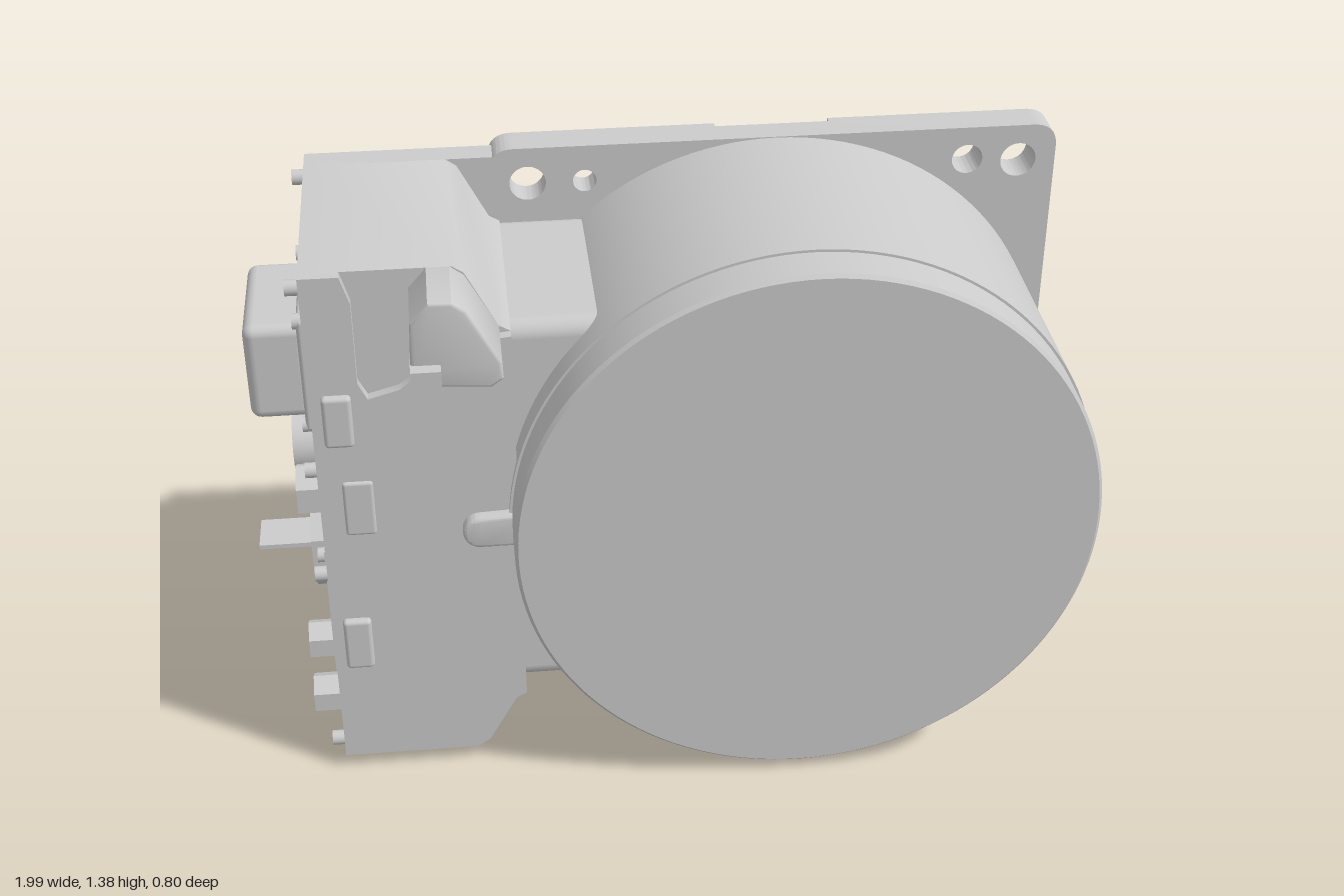
import * as THREE from 'three';
import { toCreasedNormals } from 'three/addons/utils/BufferGeometryUtils.js';
import { RoundedBoxGeometry } from 'three/addons/geometries/RoundedBoxGeometry.js';

const CX = 0.3, CY = 0.7; // drum axis

export function createModel() {
  const root = new THREE.Group();
  const mat = new THREE.MeshStandardMaterial({ color: 0xcccccc });

  const add = (name, geo, x = 0, y = 0, z = 0) => {
    const m = new THREE.Mesh(geo, mat);
    m.name = name;
    m.position.set(x, y, z);
    root.add(m);
    return m;
  };
  // box given by its limits
  const box = (name, x0, x1, y0, y1, z0, z1, r = 0) => add(name,
    r ? new RoundedBoxGeometry(x1 - x0, y1 - y0, z1 - z0, 3, r)
      : new THREE.BoxGeometry(x1 - x0, y1 - y0, z1 - z0),
    (x0 + x1) / 2, (y0 + y1) / 2, (z0 + z1) / 2);
  // shape extruded from z0 to z1, optionally bevelled inside those limits
  const slab = (name, shape, z0, z1, bevel = 0) => {
    const g = new THREE.ExtrudeGeometry(shape, {
      depth: z1 - z0 - 2 * bevel, curveSegments: 32, bevelEnabled: bevel > 0,
      bevelSize: bevel, bevelThickness: bevel, bevelOffset: -bevel, bevelSegments: 3,
    });
    return add(name, toCreasedNormals(g, 0.6), 0, 0, z0 + bevel);
  };
  const poly = (pts) => new THREE.Shape(pts.map(([x, y]) => new THREE.Vector2(x, y)));
  const drumPart = (name, r0, r1, z0, z1) => {
    const g = new THREE.CylinderGeometry(r1, r0, z1 - z0, 128).rotateX(Math.PI / 2);
    return add(name, g, CX, CY, (z0 + z1) / 2);
  };
  // prism or round plug pointing to -x from the side panel
  const plug = (name, r, sides, x0, x1, y, z) => {
    let g = new THREE.CylinderGeometry(r, r, x1 - x0, sides).rotateZ(Math.PI / 2);
    if (sides < 16) g = toCreasedNormals(g.rotateX(Math.PI / sides), 0.3);
    return add(name, g, (x0 + x1) / 2, y, z);
  };

  // main drum with a slightly narrower front rim
  drumPart('drum', 0.683, 0.683, -0.33, 0.25);
  drumPart('drumRim', 0.677, 0.677, 0.25, 0.347);
  drumPart('drumRimEdge', 0.677, 0.669, 0.347, 0.355);
  drumPart('drumFootFillet', 0.683, 0.683, -0.31, -0.295);

  // mounting plate: front layer whole, back layer cut by a round recess and a strip
  const holes = [
    [-0.29, 1.295, 0.043], [0.89, 1.295, 0.043], [0.89, 0.11, 0.043], [-0.29, 0.11, 0.043],
    [-0.155, 1.295, 0.028], [0.765, 1.303, 0.037], [0.9, 0.235, 0.037],
  ];
  const drill = (shape, test) => {
    for (const [x, y, r] of holes) if (test(x)) {
      const p = new THREE.Path();
      p.absarc(x, y, r, 0, Math.PI * 2, true);
      shape.holes.push(p);
    }
    return shape;
  };
  const W = 0.68, Y0 = 0.02, Y1 = 1.385, R = 0.06;
  const halfEdge = (shape, s) => { // outer edge of one half, bottom to top
    const X = CX + s * W;
    shape.lineTo(X - s * R, Y0);
    shape.quadraticCurveTo(X, Y0, X, Y0 + R);
    shape.lineTo(X, Y1 - R);
    shape.quadraticCurveTo(X, Y1, X - s * R, Y1);
  };
  const front = new THREE.Shape();
  front.moveTo(CX, Y0);
  halfEdge(front, 1);
  front.lineTo(CX - W + R, Y1);
  front.quadraticCurveTo(CX - W, Y1, CX - W, Y1 - R);
  front.lineTo(CX - W, Y0 + R);
  front.quadraticCurveTo(CX - W, Y0, CX - W + R, Y0);
  slab('mountingPlate', drill(front, () => true), -0.383, -0.31);
  for (const s of [1, -1]) {
    const half = new THREE.Shape();
    const strip = 0.137, rad = 0.582, a = Math.acos(strip / rad);
    half.moveTo(CX + s * strip, Y0);
    halfEdge(half, s);
    half.lineTo(CX + s * strip, Y1);
    for (let i = 0; i <= 48; i++) {
      const t = a - (2 * a * i) / 48;
      half.lineTo(CX + s * rad * Math.cos(t), CY + rad * Math.sin(t));
    }
    slab('plateBackRim', drill(half, (x) => (x - CX) * s > 0), -0.4, -0.383);
  }
  box('sidePad', 0.97, 0.993, 0.56, 0.84, -0.398, -0.3);
  box('bottomPad', 0.163, 0.437, 0.002, 0.05, -0.385, -0.3);
  const boss = new THREE.CylinderGeometry(0.047, 0.047, 0.03, 32).rotateX(Math.PI / 2);
  add('plateBoss', boss, -0.152, 0.063, -0.298);

  // electronics housing beside the drum
  box('housingBack', -0.808, -0.37, 0.04, 1.367, -0.375, -0.31);
  slab('housing', poly([[-0.808, 0.04], [-0.485, 0.04], [-0.455, 0.06], [-0.385, 0.185], [-0.36, 0.2],
    [-0.36, 1.2], [-0.385, 1.215], [-0.455, 1.35], [-0.48, 1.367], [-0.808, 1.367]]), -0.33, 0.21);
  // raised front face, leaving the upper corner lower
  slab('housingFace', poly([[-0.808, 0.04], [-0.485, 0.04], [-0.455, 0.06], [-0.385, 0.185], [-0.36, 0.2],
    [-0.36, 1.2], [-0.53, 1.18], [-0.56, 1.12], [-0.61, 1.08], [-0.68, 1.06],
    [-0.7, 1.1], [-0.7, 1.3], [-0.72, 1.367], [-0.808, 1.367]]), 0.205, 0.235);
  // neck joining housing to drum
  box('neck', -0.45, 0.1, 0.2, 1.2, -0.33, 0.185, 0.04);
  // raised corner block with a small tab
  slab('cornerBlock', poly([[-0.58, 1.2], [-0.56, 1.165], [-0.41, 1.155], [-0.383, 1.175], [-0.385, 1.215],
    [-0.455, 1.345], [-0.485, 1.367], [-0.535, 1.367], [-0.575, 1.32]]), 0.19, 0.37, 0.008);
  box('cornerTab', -0.58, -0.515, 1.16, 1.22, 0.34, 0.4);
  // locating tongue reaching the drum
  const tongue = new THREE.Shape();
  tongue.moveTo(-0.34, 0.66);
  tongue.lineTo(-0.445, 0.66);
  tongue.absarc(-0.45, 0.7, 0.04, -Math.PI / 2, Math.PI / 2, true);
  tongue.lineTo(-0.34, 0.745);
  slab('tongue', tongue, 0.2, 0.265, 0.008);
  // clips on the housing front
  for (const [y0, y1] of [[0.32, 0.46], [0.945, 1.075]])
    box('frontClip', -0.783, -0.717, y0, y1, 0.22, 0.252, 0.01);
  box('frontSlot', -0.755, -0.685, 0.7, 0.845, 0.22, 0.242, 0.008);

  // connectors on the side panel
  box('largeConnectorFlange', -0.83, -0.8, 0.91, 1.2, -0.24, 0.12, 0.01);
  box('largeConnector', -0.952, -0.81, 0.935, 1.175, -0.215, 0.1, 0.025);
  plug('roundPlug', 0.08, 40, -0.885, -0.8, 0.7, -0.18);
  plug('hexFitting', 0.065, 6, -0.87, -0.8, 0.71, 0.05);
  box('lowerPanel', -0.822, -0.8, 0.08, 0.55, -0.34, 0.09);
  plug('octagonPlug', 0.145, 8, -0.865, -0.81, 0.4, -0.225);
  box('blade', -1, -0.86, 0.386, 0.398, -0.28, -0.168);
  plug('hexFitting', 0.05, 6, -0.885, -0.81, 0.225, 0);
  plug('hexFitting', 0.05, 6, -0.875, -0.8, 0.16, 0.13);

  // screws around the panel
  const screws = [[1.33, -0.33], [1.33, 0.2], [0.07, -0.33], [0.07, 0.2], [0.84, -0.3], [0.62, -0.33],
    [0.84, 0.17], [0.57, 0.2], [1.19, -0.22], [1.19, 0.1], [0.92, -0.22], [0.92, 0.1],
    [0.53, 0.07], [0.1, 0.07], [0.1, -0.32]];
  for (const [y, z] of screws) plug('screw', 0.018, 16, -0.838, -0.8, y, z);
  return root;
}
